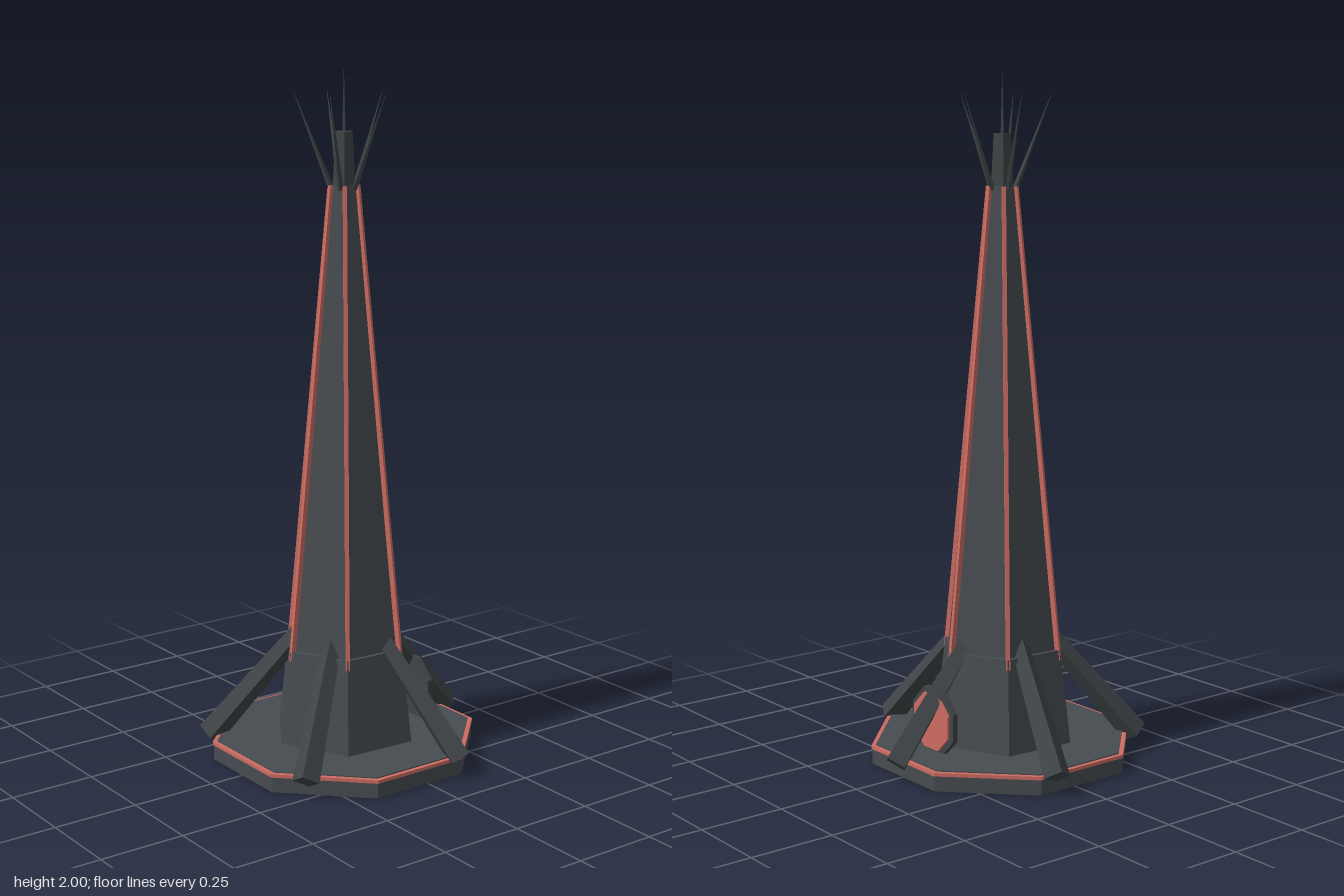
import * as THREE from 'three';

export function createModel() {
  const steel = new THREE.MeshStandardMaterial({ color: 0x474c50 });
  const darkSteel = new THREE.MeshStandardMaterial({ color: 0x3f4446 });
  const coral = new THREE.MeshStandardMaterial({ color: 0xcc6c62 });
  for (const m of [steel, darkSteel, coral]) m.flatShading = true;

  const model = new THREE.Group();
  const tower = new THREE.Group();
  tower.name = 'tower';
  tower.position.z = 0.028;
  model.add(tower);

  const add = (name, geometry, material, parent = tower) => {
    const mesh = new THREE.Mesh(geometry, material);
    mesh.name = name;
    parent.add(mesh);
    return mesh;
  };

  // Upright prism or frustum from y0 to y1
  const prism = (name, rTop, rBottom, y0, y1, sides, turn, material) => {
    const mesh = add(name, new THREE.CylinderGeometry(rTop, rBottom, y1 - y0, sides), material);
    mesh.position.y = (y0 + y1) / 2;
    mesh.rotation.y = turn;
    return mesh;
  };

  // Sloping member from radius r0, height y0 to radius r1, height y1, at a given heading
  const radial = (name, heading, [r0, y0], [r1, y1], makeGeometry, material) => {
    const arm = new THREE.Group();
    arm.name = name + 'Mount';
    arm.rotation.y = heading;
    tower.add(arm);
    const mesh = add(name, makeGeometry(Math.hypot(r1 - r0, y1 - y0)), material, arm);
    mesh.position.set(0, (y0 + y1) / 2, (r0 + r1) / 2);
    mesh.rotation.x = Math.atan2(r1 - r0, y1 - y0);
  };

  // Octagonal base with coral rim
  const oct = Math.PI / 8;
  prism('base', 0.396, 0.396, 0, 0.045, 8, oct, steel);
  prism('baseRim', 0.399, 0.399, 0.045, 0.055, 8, oct, coral);
  prism('deck', 0.385, 0.385, 0.05, 0.058, 8, oct, steel);

  // Hexagonal shaft
  const twist = -0.058;
  prism('plinth', 0.187, 0.222, 0.05, 0.335, 6, twist, steel);
  prism('shaft', 0.043, 0.174, 0.335, 1.68, 6, twist, steel);
  prism('cap', 0.027, 0.036, 1.67, 1.83, 6, twist, darkSteel);
  prism('needle', 0.0005, 0.006, 1.83, 2, 4, 0, darkSteel);

  // Coral strips along the shaft edges
  for (let i = 0; i < 6; i++) {
    radial('edgeStrip', twist + i * Math.PI / 3, [0.182, 0.305], [0.042, 1.68],
      (len) => new THREE.BoxGeometry(0.012, len, 0.014), coral);
  }

  // Five buttress legs, with a splayed spike above each
  for (let i = 0; i < 5; i++) {
    const heading = THREE.MathUtils.degToRad(38 + 72 * i);
    radial('buttressLeg', heading, [0.4, 0.05], [0.133, 0.365],
      (len) => new THREE.CylinderGeometry(0.028, 0.04, len, 4), darkSteel);
    radial('spike', heading, [0.036, 1.67], [0.14, 1.94],
      (len) => new THREE.CylinderGeometry(0.0005, 0.009, len, 4), darkSteel);
  }

  // Octagonal hatch standing at the back
  const hatch = new THREE.Group();
  hatch.name = 'hatch';
  hatch.position.set(0.002, 0.145, 0);
  model.add(hatch);
  const disc = (name, apothem, depth, z, material) => {
    const geometry = new THREE.CylinderGeometry(apothem / Math.cos(oct), apothem / Math.cos(oct), depth, 8);
    geometry.rotateY(oct).rotateX(Math.PI / 2);
    add(name, geometry, material, hatch).position.z = z;
  };
  disc('hatchFrame', 0.097, 0.016, -0.22, darkSteel);
  disc('hatchPanel', 0.081, 0.008, -0.232, coral);

  return model;
}
